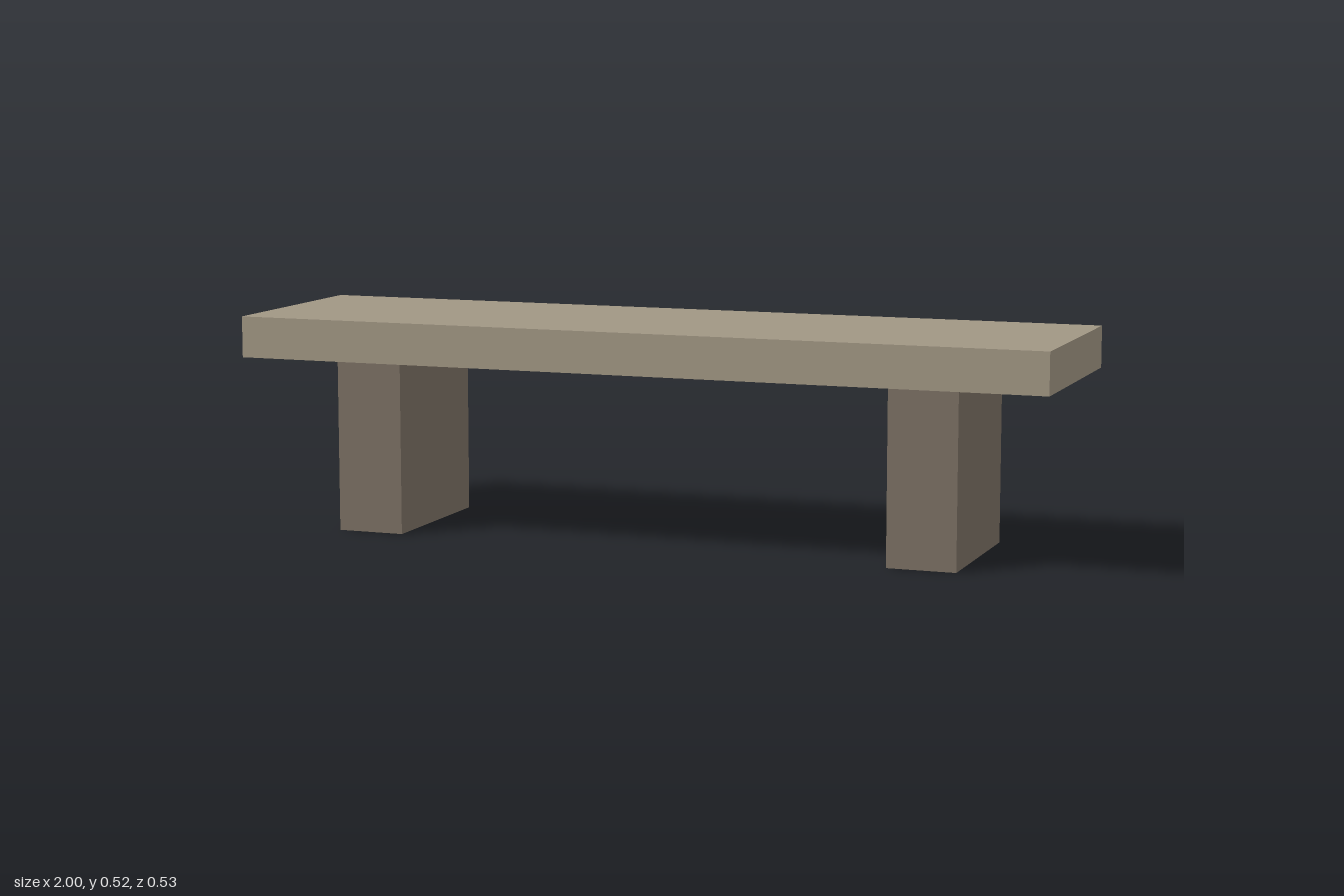
import * as THREE from 'three';

// Rectangular tube: a box without its top and bottom faces
function openBox(width, height, depth) {
  const geometry = new THREE.BoxGeometry(width, height, depth);
  const index = Array.from(geometry.index.array);
  index.splice(12, 12);
  geometry.setIndex(index);
  geometry.clearGroups();
  return geometry;
}

export function createModel() {
  const bench = new THREE.Group();
  bench.name = 'bench';

  const seatStone = new THREE.MeshStandardMaterial({ color: 0xa09683 });
  seatStone.name = 'seat stone';
  const legStone = new THREE.MeshStandardMaterial({ color: 0x7b7063, side: THREE.DoubleSide });
  legStone.name = 'leg stone';

  const legHeight = 0.424;
  const seatThickness = 0.1;

  // Seat slab
  const seat = new THREE.Mesh(new THREE.BoxGeometry(2, seatThickness, 0.534), seatStone);
  seat.name = 'seat';
  seat.position.y = legHeight + seatThickness / 2;
  bench.add(seat);

  // Hollow legs, open underneath
  const legGeometry = openBox(0.166, legHeight, 0.4);
  for (const [name, side] of [['leftLeg', 1], ['rightLeg', -1]]) {
    const leg = new THREE.Mesh(legGeometry, legStone);
    leg.name = name;
    leg.position.set(side * 0.694, legHeight / 2, 0);
    bench.add(leg);
  }

  return bench;
}
